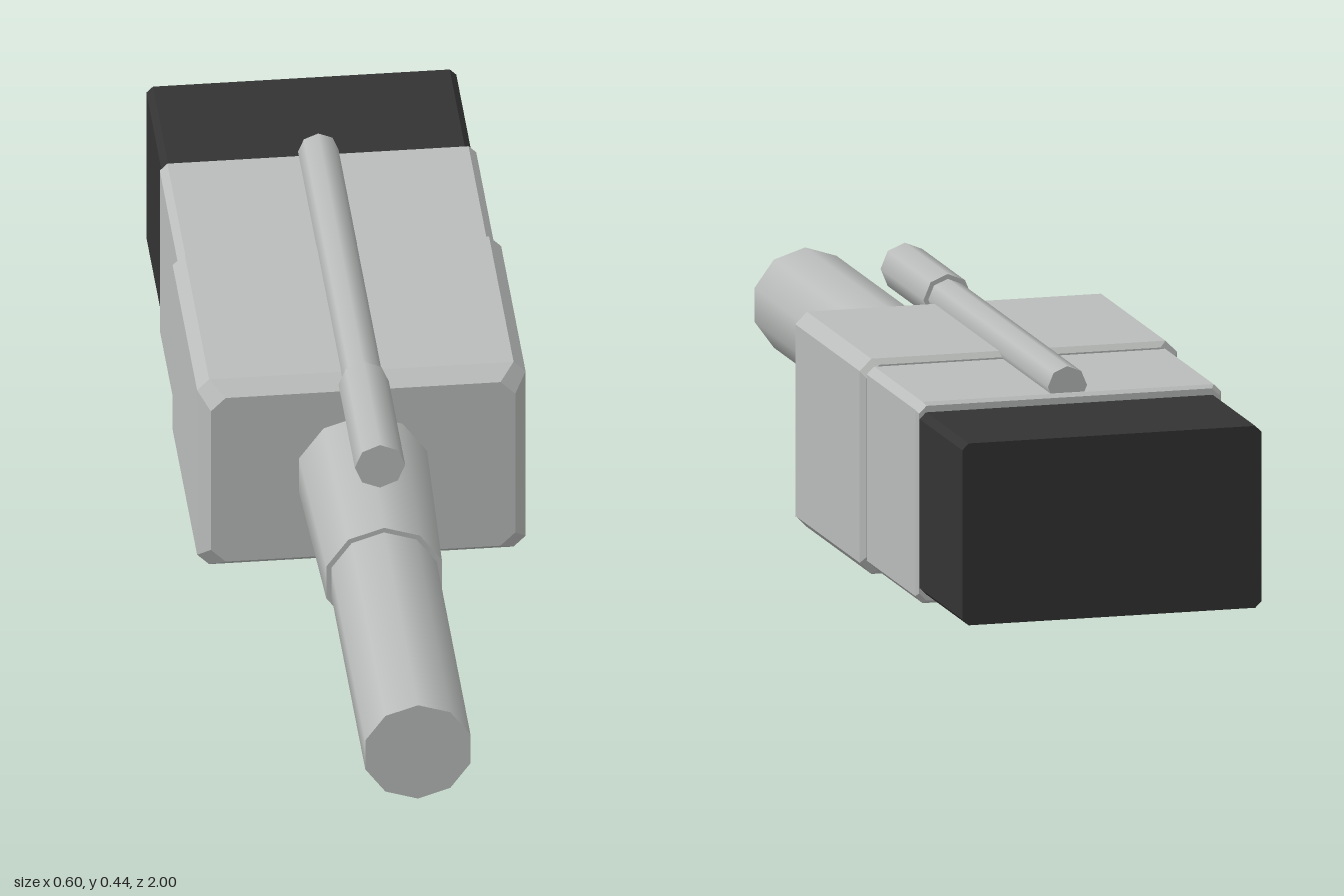
import * as THREE from 'three';

const CENTER_Y = 0.2;

// Octagonal cross-section: a rectangle with its corners cut
function section([z, hx, hy, cut]) {
  return [
    [hx, -hy + cut], [hx, hy - cut], [hx - cut, hy], [-hx + cut, hy],
    [-hx, hy - cut], [-hx, -hy + cut], [-hx + cut, -hy], [hx - cut, -hy],
  ].map(([x, y]) => [x, y, z]);
}

// Flat-faced block lofted from back to front, closed at both ends
function loft(rows) {
  const rings = rows.map(section);
  const pos = [];
  const tri = (a, b, c) => pos.push(...a, ...b, ...c);
  const back = rings[0], front = rings[rings.length - 1];
  for (let r = 0; r < rings.length - 1; r++) {
    for (let i = 0; i < 8; i++) {
      const j = (i + 1) % 8;
      const a = rings[r][i], b = rings[r][j], c = rings[r + 1][j], d = rings[r + 1][i];
      tri(a, b, c);
      tri(a, c, d);
    }
  }
  for (let i = 1; i < 7; i++) {
    tri(front[0], front[i], front[i + 1]);
    tri(back[0], back[i + 1], back[i]);
  }
  const geo = new THREE.BufferGeometry();
  geo.setAttribute('position', new THREE.Float32BufferAttribute(pos, 3));
  geo.computeVertexNormals();
  return geo;
}

// Round bar along z, from z0 (radius r0) to z1 (radius r1)
function bar(z0, r0, z1, r1, sides) {
  return new THREE.CylinderGeometry(r1, r0, z1 - z0, sides)
    .rotateX(Math.PI / 2)
    .translate(0, 0, (z0 + z1) / 2);
}

export function createModel() {
  const model = new THREE.Group();
  const grey = new THREE.MeshStandardMaterial({ color: 0xb9bcba });
  grey.name = 'light grey';
  const black = new THREE.MeshStandardMaterial({ color: 0x333333 });
  black.name = 'black';

  const add = (name, geometry, material, y = CENTER_Y) => {
    const mesh = new THREE.Mesh(geometry, material);
    mesh.name = name;
    mesh.position.y = y;
    model.add(mesh);
  };

  // Housing blocks: rows are z, half width, half height, corner cut
  add('mainHousing', loft([
    [-0.4, 0.29, 0.19, 0.024],
    [-0.39, 0.3, 0.2, 0.022],
    [0.03, 0.3, 0.2, 0.022],
    [0.06, 0.278, 0.177, 0.027],
  ]), grey);
  add('rearHousing', loft([
    [-0.722, 0.284, 0.181, 0.014],
    [-0.714, 0.289, 0.187, 0.014],
    [-0.395, 0.289, 0.187, 0.014],
  ]), grey);
  add('plugCap', loft([
    [-1, 0.283, 0.169, 0.012],
    [-0.71, 0.283, 0.169, 0.012],
  ]), black);

  // Cable with its tapered strain relief
  add('strainRelief', bar(0.05, 0.123, 0.42, 0.111, 10), grey);
  add('cable', bar(0.4, 0.101, 1, 0.101, 10), grey);

  // Release rod lying along the top, with a thicker grip at its front
  add('releaseRod', bar(-0.71, 0.037, 0.08, 0.037, 8), grey, 0.399);
  add('releaseGrip', bar(0.07, 0.046, 0.35, 0.046, 8), grey, 0.399);

  return model;
}
